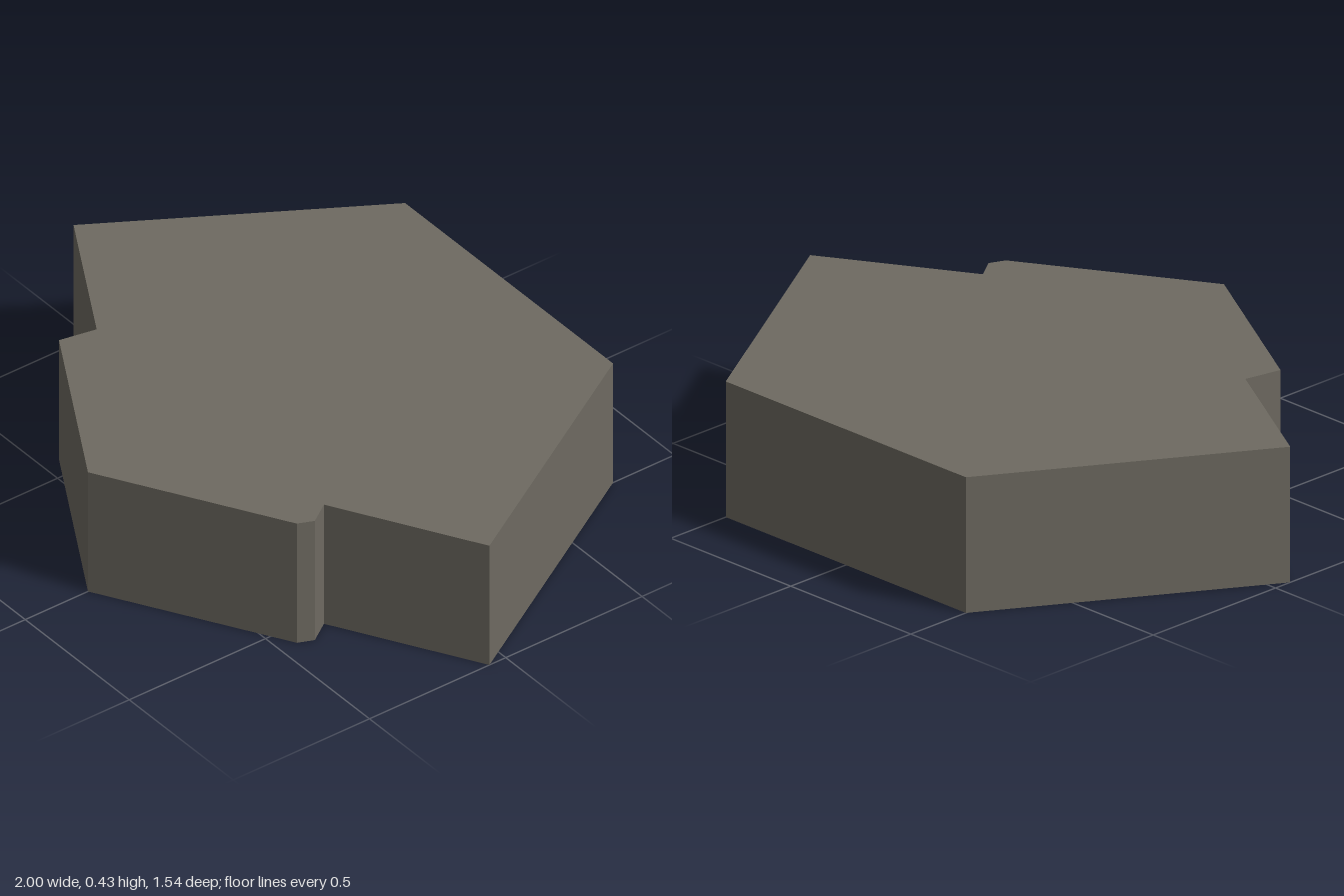
import * as THREE from 'three';

const HEIGHT = 0.43;

// Plan outline as [x, z], running clockwise seen from above
const OUTLINE = [
  [-0.5, -0.775], [0.5, -0.775], [1, 0.06],
  [0.545, 0.32], [0.593, 0.39], [0.572, 0.44],
  [0, 0.77],
  [-0.572, 0.44], [-0.548, 0.32], [-1, 0.06],
];

// Flat lid following the outline
function roofGeometry() {
  const shape = new THREE.Shape(OUTLINE.map(([x, z]) => new THREE.Vector2(x, -z)));
  return new THREE.ShapeGeometry(shape).rotateX(-Math.PI / 2).translate(0, HEIGHT, 0);
}

// One flat vertical panel per outline edge
function wallGeometry() {
  const positions = [];
  OUTLINE.forEach(([ax, az], i) => {
    const [bx, bz] = OUTLINE[(i + 1) % OUTLINE.length];
    positions.push(
      ax, 0, az, ax, HEIGHT, az, bx, HEIGHT, bz,
      ax, 0, az, bx, HEIGHT, bz, bx, 0, bz,
    );
  });
  const geometry = new THREE.BufferGeometry();
  geometry.setAttribute('position', new THREE.Float32BufferAttribute(positions, 3));
  geometry.computeVertexNormals();
  return geometry;
}

export function createModel() {
  const group = new THREE.Group();
  group.name = 'openShell';

  const stone = new THREE.MeshStandardMaterial({ color: 0x6e6a61, side: THREE.DoubleSide });
  stone.name = 'warm grey';

  // The underside stays open, so both faces of each sheet are visible
  const roof = new THREE.Mesh(roofGeometry(), stone);
  roof.name = 'roof';
  const walls = new THREE.Mesh(wallGeometry(), stone);
  walls.name = 'walls';

  group.add(roof, walls);
  return group;
}
